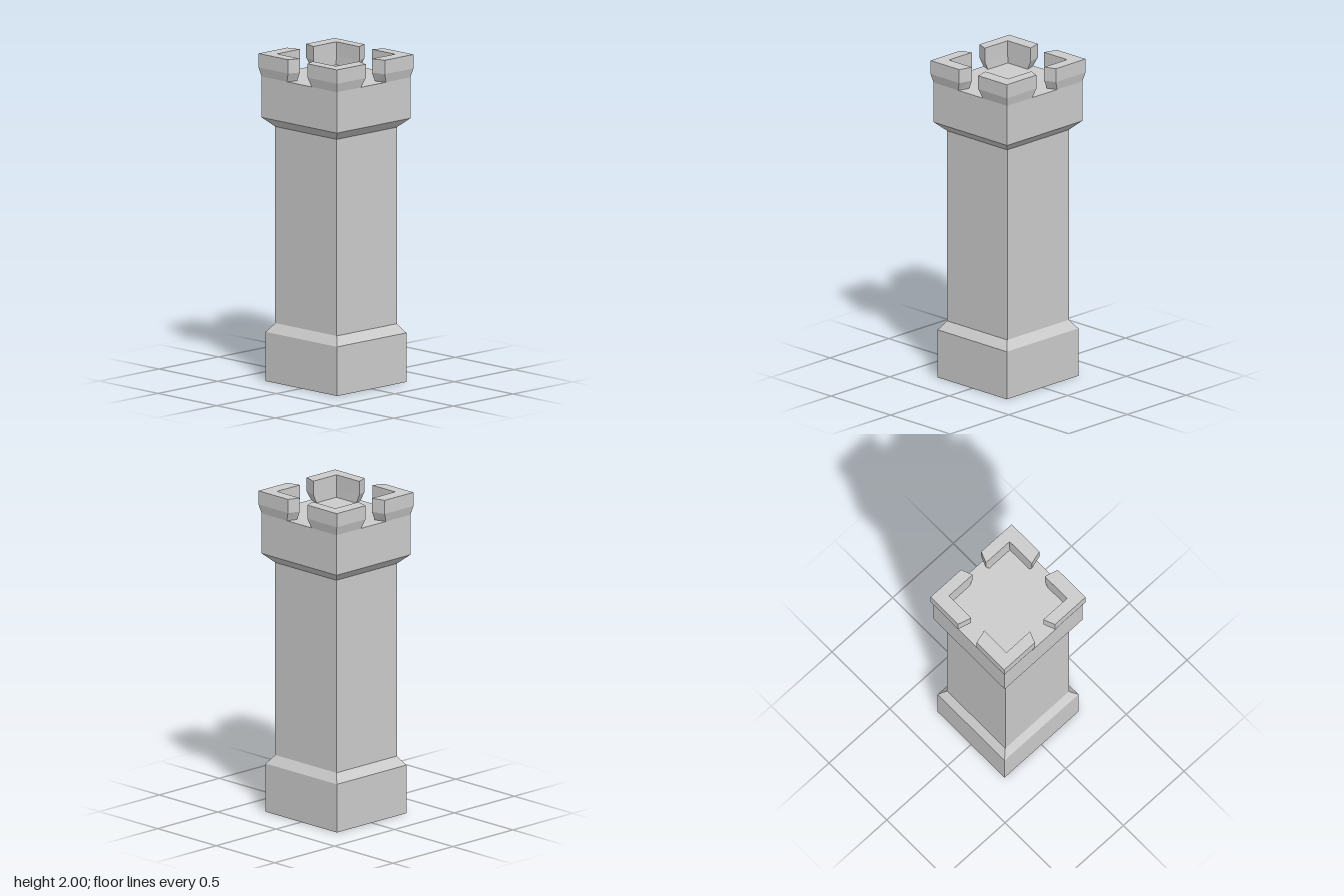
import * as THREE from 'three';

const material = new THREE.MeshStandardMaterial({ color: 0xcccccc, flatShading: true });

// Joins rings of [x, y, z] points (anticlockwise from above) with flat faces.
// Caps fan out from each ring's first point.
function loft(name, rings, capBottom) {
  const pos = [];
  const tri = (a, b, c) => pos.push(...a, ...b, ...c);
  const n = rings[0].length;
  for (let r = 0; r < rings.length - 1; r++) {
    for (let i = 0; i < n; i++) {
      const j = (i + 1) % n;
      const [lo, hi] = [rings[r], rings[r + 1]];
      tri(lo[i], lo[j], hi[j]);
      tri(lo[i], hi[j], hi[i]);
    }
  }
  const top = rings[rings.length - 1];
  for (let i = 1; i < n - 1; i++) {
    tri(top[0], top[i], top[i + 1]);
    if (capBottom) tri(rings[0][0], rings[0][i + 1], rings[0][i]);
  }
  const geometry = new THREE.BufferGeometry();
  geometry.setAttribute('position', new THREE.Float32BufferAttribute(pos, 3));
  geometry.computeVertexNormals();
  const mesh = new THREE.Mesh(geometry, material);
  mesh.name = name;
  return mesh;
}

const rect = (y, x, z) => [[x, y, z], [x, y, -z], [-x, y, -z], [-x, y, z]];

export function createModel() {
  const tower = new THREE.Group();
  tower.name = 'tower';

  // Plinth, shaft and flared head as one continuous wall
  tower.add(loft('towerBody', [
    rect(0, 0.305, 0.29),
    rect(0.3, 0.305, 0.29),
    rect(0.355, 0.262, 0.252),
    rect(1.555, 0.262, 0.252),
    rect(1.61, 0.32, 0.308),
    rect(1.86, 0.32, 0.308),
  ], true));

  // L-shaped corner battlements, narrower at the foot, with splayed ends
  const foot = [[0.32, 0.308], [0.32, 0.104], [0.25, 0.08], [0.25, 0.247], [0.08, 0.247], [0.105, 0.308]];
  const crown = [[0.335, 0.32], [0.335, 0.08], [0.25, 0.056], [0.25, 0.249], [0.055, 0.249], [0.083, 0.32]];
  for (const sx of [1, -1]) {
    for (const sz of [1, -1]) {
      const ring = (outline, y) => {
        const [corner, ...rest] = outline.map(([x, z]) => [x * sx, y, z * sz]);
        return [corner, ...(sx * sz < 0 ? rest.reverse() : rest)];
      };
      const name = (sz > 0 ? 'front' : 'back') + (sx > 0 ? 'Left' : 'Right') + 'Battlement';
      tower.add(loft(name, [ring(foot, 1.86), ring(crown, 1.915), ring(crown, 2)], false));
    }
  }
  return tower;
}
